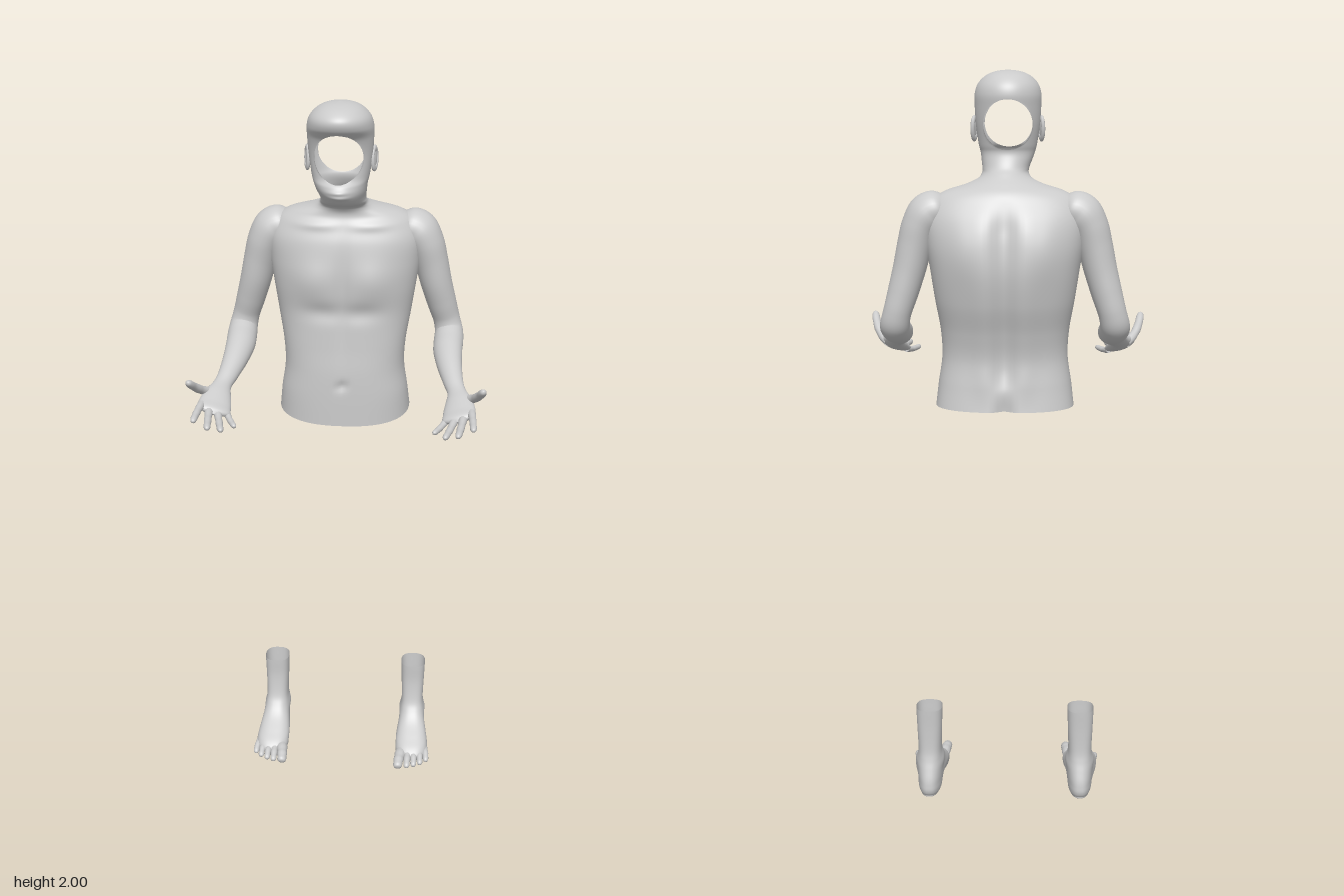
import * as THREE from 'three';
import { mergeVertices } from 'three/addons/utils/BufferGeometryUtils.js';

const skin = new THREE.MeshStandardMaterial({ color: 0xcccccc, side: THREE.DoubleSide });
const { smoothstep } = THREE.MathUtils;
const bump = (a, a0, s) => Math.exp(-(((a - a0) / s) ** 2));
const spow = (v, p) => Math.sign(v) * Math.abs(v) ** p;

function named(geometry, name) {
  const mesh = new THREE.Mesh(geometry, skin);
  mesh.name = name;
  return mesh;
}

// Smoothly interpolated row of a table, u runs from 0 to 1
function sampler(rows) {
  const spline = new THREE.CubicInterpolant(rows.map((_, i) => i), rows.flat(), rows[0].length);
  return u => Array.from(spline.evaluate(u * (rows.length - 1)));
}

// Skin over closed rings; place(u, angle) gives a point. An optional hole is cut along z.
function loft(steps, segs, place, hole) {
  const pos = [], index = [];
  for (let i = 0; i <= steps; i++)
    for (let j = 0; j < segs; j++) pos.push(...place(i / steps, (j / segs) * Math.PI * 2));
  const inside = k => hole && Math.hypot(pos[k * 3] - hole.x, pos[k * 3 + 1] - hole.y) < hole.r;
  const tri = (...t) => { if (!t.every(inside)) index.push(...t); };
  for (let i = 0; i < steps; i++)
    for (let j = 0; j < segs; j++) {
      const a = i * segs + j, b = i * segs + ((j + 1) % segs);
      tri(a, b, b + segs);
      tri(a, b + segs, a + segs);
    }
  // Pull the rim onto a clean circle
  for (let k = 0; hole && k < pos.length / 3; k++) {
    if (!inside(k)) continue;
    const dx = pos[k * 3] - hole.x, dy = pos[k * 3 + 1] - hole.y, s = hole.r / (Math.hypot(dx, dy) || 1);
    pos[k * 3] = hole.x + dx * s;
    pos[k * 3 + 1] = hole.y + dy * s;
  }
  let geo = new THREE.BufferGeometry();
  geo.setAttribute('position', new THREE.Float32BufferAttribute(pos, 3));
  geo.setIndex(index);
  geo = mergeVertices(geo, 1e-6);
  geo.computeVertexNormals();
  return geo;
}

// Limb along rows of [x, y, z, radius across, radius through]
function limb(rows, hint, steps, segs) {
  const at = sampler(rows);
  const point = u => new THREE.Vector3(...at(u).slice(0, 3));
  return loft(steps, segs, (u, a) => {
    const [, , , ru, rv] = at(u).map((v, i) => (i > 2 ? Math.max(v, 0) : v));
    const t = point(Math.min(u + 0.01, 1)).sub(point(Math.max(u - 0.01, 0))).normalize();
    const side = hint.clone().addScaledVector(t, -hint.dot(t)).normalize();
    const up = t.clone().cross(side);
    return point(u).addScaledVector(side, Math.cos(a) * ru).addScaledVector(up, Math.sin(a) * rv).toArray();
  });
}

// Finger or toe with a round tip, through base, joint and tip
function digit(base, joint, tip, r, hint) {
  const curve = new THREE.QuadraticBezierCurve3(...[base, joint, tip].map(p => new THREE.Vector3(...p)));
  const rows = [[0, 1.1], [0.2, 1.08], [0.4, 0.95], [0.55, 1], [0.72, 0.9], [0.86, 0.9], [0.95, 0.7], [0.985, 0.4], [1, 0]]
    .map(([t, s]) => [...curve.getPoint(t).toArray(), r * s, r * s * 0.95]);
  return limb(rows, hint, 24, 12);
}

// Torso, neck and head: [y, half width, front z, back z, centre z, roundness]
const bodyRows = [
  [1.14, 0.183, -0.02, -0.26, -0.15, 2.4], [1.2, 0.176, -0.02, -0.25, -0.14, 2.4],
  [1.27, 0.166, -0.022, -0.24, -0.14, 2.4], [1.34, 0.169, -0.028, -0.252, -0.14, 2.4],
  [1.42, 0.182, -0.032, -0.276, -0.15, 2.3], [1.5, 0.194, -0.03, -0.288, -0.15, 2.3],
  [1.57, 0.204, -0.032, -0.282, -0.155, 2.3], [1.63, 0.205, -0.04, -0.264, -0.155, 2.3],
  [1.675, 0.188, -0.057, -0.24, -0.155, 2.2], [1.7, 0.155, -0.065, -0.222, -0.15, 2.1],
  [1.717, 0.1, -0.06, -0.2, -0.135, 2], [1.73, 0.07, -0.045, -0.18, -0.11, 2],
  [1.742, 0.061, -0.005, -0.165, -0.09, 1.9], [1.755, 0.061, 0.018, -0.15, -0.085, 1.9],
  [1.775, 0.066, 0.03, -0.138, -0.075, 2], [1.795, 0.071, 0.026, -0.132, -0.07, 2],
  [1.815, 0.076, 0.01, -0.137, -0.07, 2], [1.865, 0.083, 0, -0.15, -0.07, 2],
  [1.91, 0.086, 0.012, -0.159, -0.065, 2], [1.94, 0.086, 0.04, -0.162, -0.06, 2],
  [1.965, 0.078, 0.044, -0.153, -0.055, 2], [1.985, 0.058, 0.022, -0.13, -0.055, 2],
  [1.996, 0.032, -0.015, -0.095, -0.055, 2], [2, 0, -0.055, -0.055, -0.055, 2],
];

function bodyGeometry() {
  const at = sampler(bodyRows);
  return loft(230, 112, (u, a) => {
    const [y, w, zf, zb, zc, n] = at(u);
    const c = Math.cos(a), x = Math.max(w, 0) * spow(Math.sin(a), 2 / n);
    let z = zc + (c > 0 ? zf - zc : zc - zb) * spow(c, 2 / n);
    const m = Math.abs(x);
    if (c > 0) {
      // Chest, breastbone, belly line, ribs, navel and lips
      z += c * (0.012 * bump(m, 0.085, 0.06) * bump(y, 1.53, 0.055)
        - 0.006 * bump(m, 0, 0.016) * bump(y, 1.48, 0.14)
        - 0.008 * bump(m, 0.05, 0.06) * bump(y, 1.44, 0.025)
        - 0.008 * bump(m, 0, 0.012) * bump(y, 1.235, 0.014)
        + 0.006 * bump(m, 0.08, 0.06) * bump(y, 1.675, 0.012)
        + 0.005 * bump(m, 0, 0.025) * (bump(y, 1.783, 0.006) + bump(y, 1.77, 0.006)));
    } else {
      // Spine groove, back muscles, shoulder blades and cleft
      const back = -c * smoothstep(y, 1.14, 1.25) * (1 - smoothstep(y, 1.6, 1.7));
      z += back * (0.015 * bump(m, 0, 0.025) - 0.006 * bump(m, 0.055, 0.03));
      z += c * 0.009 * bump(m, 0.105, 0.04) * bump(y, 1.56, 0.07);
      z += 0.02 * bump(m, 0, 0.02) * (1 - smoothstep(y, 1.13, 1.2));
    }
    const dip = 0.022 * Math.max(c, 0) * (1 - smoothstep(y, 1.14, 1.22));
    return [x - 0.006 * smoothstep(y, 1.74, 1.8), y - dip, z];
  }, { x: -0.007, y: 1.865, r: 0.063 });
}

function makeArm() {
  const arm = new THREE.Group(), hint = new THREE.Vector3(1, 0.35, 0);
  arm.add(named(limb([
    [0.135, 1.665, -0.16, 0, 0], [0.16, 1.66, -0.16, 0.04, 0.05], [0.193, 1.645, -0.16, 0.054, 0.06],
    [0.217, 1.61, -0.16, 0.05, 0.059], [0.233, 1.56, -0.162, 0.046, 0.054], [0.248, 1.5, -0.165, 0.043, 0.05],
    [0.265, 1.44, -0.172, 0.04, 0.044], [0.28, 1.39, -0.177, 0.037, 0.038], [0.288, 1.355, -0.168, 0.039, 0.038],
    [0.288, 1.338, -0.135, 0.041, 0.038], [0.287, 1.325, -0.09, 0.04, 0.035], [0.293, 1.305, -0.03, 0.034, 0.029],
    [0.304, 1.283, 0.03, 0.027, 0.022], [0.314, 1.268, 0.07, 0.025, 0.018], [0.32, 1.254, 0.11, 0.037, 0.02],
    [0.322, 1.242, 0.15, 0.044, 0.017], [0.321, 1.237, 0.178, 0.041, 0.012], [0.32, 1.234, 0.192, 0, 0],
  ], hint, 130, 32), 'armAndPalm'));
  const fingers = [
    ['indexFinger', [0.354, 1.251, 0.165], [0.358, 1.252, 0.22], [0.359, 1.246, 0.274], 0.0098],
    ['middleFinger', [0.334, 1.24, 0.17], [0.328, 1.234, 0.23], [0.32, 1.234, 0.289], 0.0102],
    ['ringFinger', [0.312, 1.231, 0.168], [0.3, 1.222, 0.22], [0.287, 1.224, 0.276], 0.0098],
    ['littleFinger', [0.291, 1.224, 0.155], [0.276, 1.214, 0.19], [0.258, 1.218, 0.232], 0.0086],
    ['thumb', [0.335, 1.256, 0.095], [0.372, 1.275, 0.13], [0.382, 1.325, 0.2], 0.0125],
  ];
  for (const [name, base, joint, tip, r] of fingers) arm.add(named(digit(base, joint, tip, r, hint), name));
  return arm;
}

function makeFoot() {
  const foot = new THREE.Group(), hint = new THREE.Vector3(1, 0, 0);
  // Sole to open ankle: [y, half width, front z, back z]
  const at = sampler([
    [0.004, 0, -0.1, -0.1], [0.004, 0.026, -0.005, -0.215], [0.012, 0.035, 0.014, -0.23],
    [0.026, 0.037, 0.016, -0.236], [0.042, 0.037, 0, -0.235], [0.06, 0.037, -0.032, -0.231],
    [0.085, 0.036, -0.075, -0.222], [0.11, 0.034, -0.101, -0.213], [0.14, 0.033, -0.117, -0.207],
    [0.2, 0.035, -0.127, -0.205], [0.26, 0.037, -0.127, -0.206],
  ]);
  foot.add(named(loft(70, 48, (u, a) => {
    const [y, w, zf, zb] = at(u);
    const z = (zf + zb) / 2 + ((zf - zb) / 2) * spow(Math.cos(a), 0.8);
    const spread = 1 + 0.65 * smoothstep(z, -0.16, 0.01);
    let x = Math.max(w, 0) * spow(Math.sin(a), 0.8) * spread;
    // Inner arch, ankle bones
    if (x < 0) x *= 1 - 0.25 * bump(z, -0.1, 0.05) * (1 - smoothstep(y, 0.015, 0.05));
    x *= 1 + 0.13 * bump(y, 0.095, 0.018) * bump(z, -0.16, 0.03);
    return [0.214 + x + 0.003 * smoothstep(z, -0.15, 0), y, z];
  }), 'ankleAndFoot'));
  const toes = [[0.179, 0.063, 0.0155], [0.206, 0.055, 0.0105], [0.2265, 0.047, 0.01], [0.246, 0.036, 0.0098], [0.264, 0.019, 0.0095]];
  toes.forEach(([x, z, r], i) => foot.add(named(digit(
    [0.215 + (x - 0.215) * 0.8, 0.024, z - 0.07], [x, 0.03, z - 0.03], [x, r + 0.001, z], r, hint), 'toe' + (i + 1))));
  return foot;
}

function makeEar() {
  const ear = new THREE.Group();
  const rim = named(new THREE.TorusGeometry(0.72, 0.26, 10, 28), 'earRim');
  const bowl = named(new THREE.SphereGeometry(0.75, 20, 12), 'earBowl');
  bowl.scale.z = 0.3;
  ear.add(rim, bowl);
  ear.scale.set(0.018, 0.035, 0.02);
  ear.rotation.set(-0.15, Math.PI / 2 - 0.35, 0, 'XYZ');
  ear.position.set(0.087, 1.853, -0.074);
  return ear;
}

export function createModel() {
  const model = new THREE.Group();
  model.name = 'figure';
  model.add(named(bodyGeometry(), 'torsoAndHead'));
  for (const [label, s] of [['left', 1], ['right', -1]]) {
    for (const [part, make] of [['Arm', makeArm], ['Foot', makeFoot], ['Ear', makeEar]]) {
      const half = new THREE.Group();
      half.name = label + part;
      half.scale.x = s;
      if (part === 'Ear') half.position.x = -0.006;
      half.add(make());
      model.add(half);
    }
  }
  return model;
}
